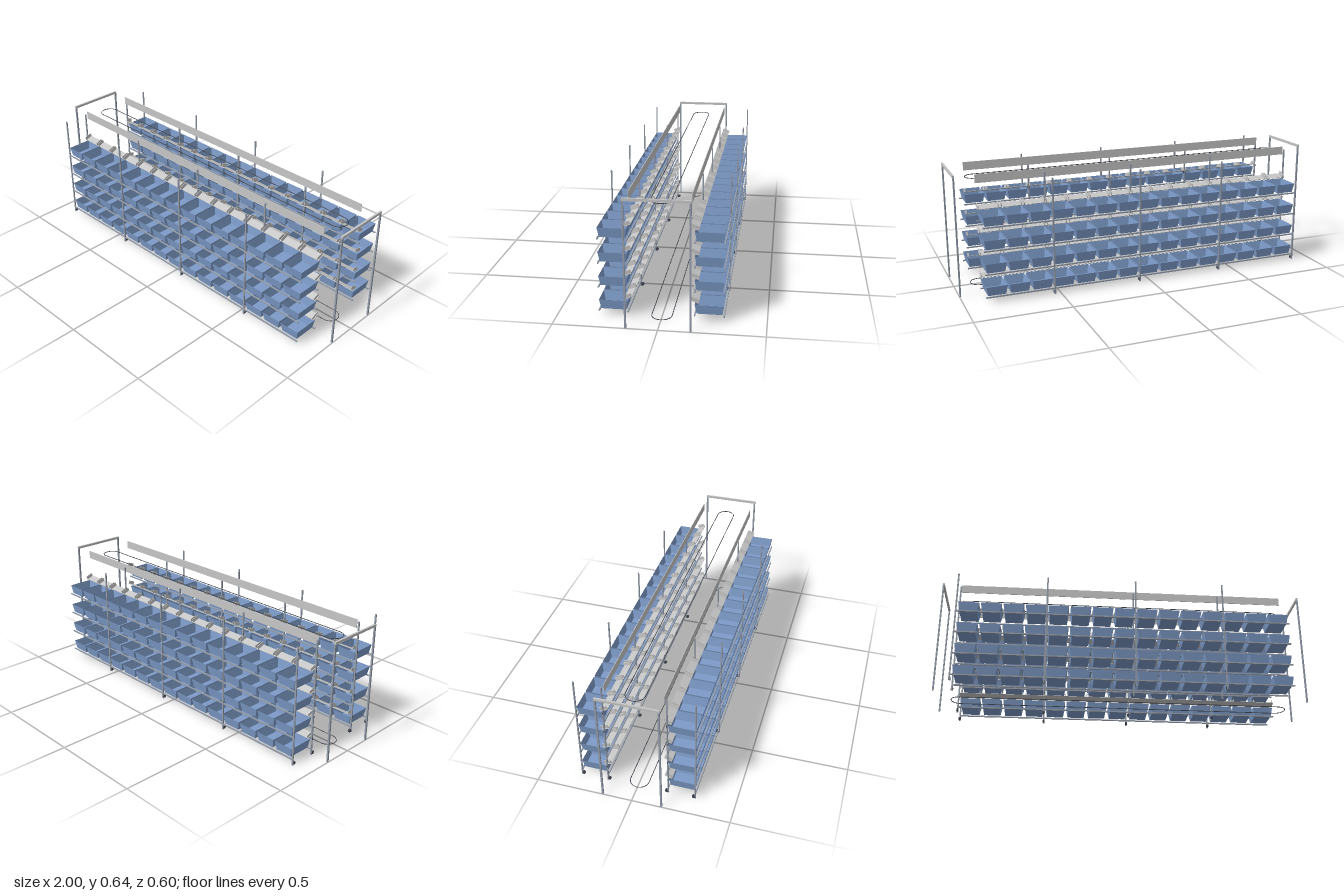
import * as THREE from 'three';

const material = (name, color, side = THREE.FrontSide) => {
  const m = new THREE.MeshStandardMaterial({ color, side });
  m.name = name;
  return m;
};

export function createModel() {
  const steel = material('steel', 0x959eac);
  const paleGrey = material('pale grey', 0xc6c6c6);
  const dark = material('dark rubber', 0x40454f);
  const blue = material('bin blue', 0x7d9bc8, THREE.DoubleSide);

  const model = new THREE.Group();
  model.name = 'pickingStation';

  const add = (parent, name, geometry, mat, x, y, z) => {
    const mesh = new THREE.Mesh(geometry, mat);
    mesh.name = name;
    mesh.position.set(x, y, z);
    parent.add(mesh);
    return mesh;
  };
  const box = (w, h, d) => new THREE.BoxGeometry(w, h, d);

  const tiers = [0.036, 0.157, 0.279, 0.401];
  const binCount = 15, pitch = 0.119;
  const postXs = [-0.897, -0.42, 0.055, 0.531];
  const innerZ = 0.159, outerZ = 0.298;

  // Open bin: a box tapered toward the floor, with its lid face removed
  const binGeo = box(0.11, 0.049, 0.139);
  const p = binGeo.attributes.position;
  for (let i = 0; i < p.count; i++) {
    if (p.getY(i) < 0) {
      p.setX(i, p.getX(i) * 0.84);
      p.setZ(i, p.getZ(i) * 0.88);
    }
  }
  const faces = Array.from(binGeo.index.array);
  faces.splice(12, 6);
  binGeo.setIndex(faces);
  binGeo.clearGroups();
  binGeo.computeVertexNormals();

  const postGeo = box(0.008, 0.618, 0.006);
  const railGeo = box(1.79, 0.007, 0.006);
  const trayGeo = box(1.78, 0.002, 0.041);
  const lugGeo = box(0.003, 0.02, 0.041);
  const clipGeo = box(0.012, 0.012, 0.004);
  const wheelGeo = new THREE.CylinderGeometry(0.009, 0.009, 0.011, 6).rotateZ(Math.PI / 2);

  // Two mirrored racks facing each other across the aisle
  for (const s of [1, -1]) {
    const rack = new THREE.Group();
    rack.name = s > 0 ? 'frontRack' : 'backRack';
    model.add(rack);

    for (const x of postXs) {
      for (const z of [innerZ, outerZ]) {
        add(rack, 'post', postGeo, steel, x, 0.309, s * z);
        add(rack, 'caster', wheelGeo, dark, x, 0.011, s * (z - 0.008));
      }
    }

    for (const y of tiers) {
      for (const z of [innerZ, outerZ])
        add(rack, 'shelfRail', railGeo, steel, -0.004, y - 0.005, s * z);

      // Tilted tray on the aisle side with upright lugs beside every bin
      const tray = new THREE.Group();
      tray.name = 'tiltedTray';
      tray.position.set(0, y + 0.074, s * 0.161);
      tray.rotation.x = s * 0.37;
      rack.add(tray);
      add(tray, 'trayPlate', trayGeo, paleGrey, 0, -0.009, 0);

      for (let i = 0; i < binCount; i++) {
        const x = (i - (binCount - 1) / 2) * pitch;
        add(rack, 'bin', binGeo, blue, x, y + 0.0245, s * 0.2285);
        for (const e of [-1, 1]) {
          const lug = add(tray, 'trayLug', lugGeo, paleGrey, x + e * 0.052, 0, 0);
          lug.rotation.z = -e * 0.1;
        }
      }
      for (const x of postXs)
        add(rack, 'trayBracket', clipGeo, dark, x, y + 0.056, s * 0.1585);
    }

    // Long header panel above the aisle face
    add(model, 'headerPanel', box(1.784, 0.045, 0.003), paleGrey, -0.003, 0.611, s * 0.1465);
  }

  // Portal frames at both ends
  for (const x of [-0.995, 0.995]) {
    const portal = new THREE.Group();
    portal.name = 'endPortal';
    model.add(portal);
    for (const z of [-0.152, 0.152])
      add(portal, 'portalPost', box(0.008, 0.626, 0.009), steel, x, 0.313, z);
    add(portal, 'portalBeam', box(0.01, 0.013, 0.312), paleGrey, x, 0.6315, 0);
  }

  // Conveyor loops: stadium-shaped tubes above and below the aisle
  const r = 0.049, half = 0.865;
  const loop = new THREE.CurvePath();
  const end = (sign) => new THREE.CatmullRomCurve3(
    Array.from({ length: 13 }, (_, i) => {
      const a = -Math.PI / 2 + (i / 12) * Math.PI;
      return new THREE.Vector3(sign * (half + r * Math.cos(a)), 0, sign * r * Math.sin(a));
    }));
  const v = (x, z) => new THREE.Vector3(x, 0, z);
  loop.add(new THREE.LineCurve3(v(-half, -r), v(half, -r)));
  loop.add(end(1));
  loop.add(new THREE.LineCurve3(v(half, r), v(-half, r)));
  loop.add(end(-1));
  const loopGeo = new THREE.TubeGeometry(loop, 320, 0.002, 6, true);
  add(model, 'upperLoop', loopGeo, dark, -0.003, 0.589, 0);
  add(model, 'lowerLoop', loopGeo, dark, -0.003, 0.009, 0);

  return model;
}
